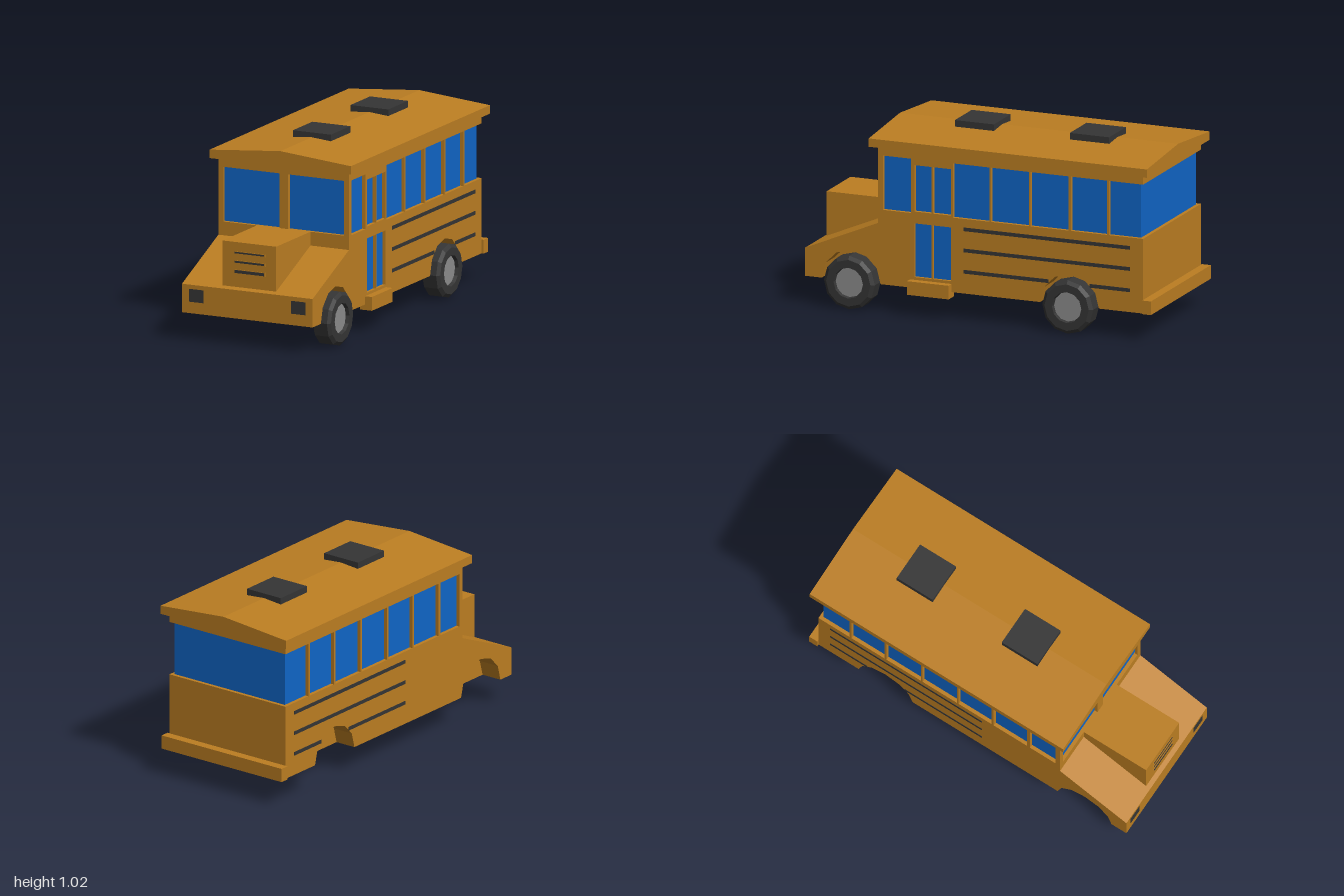
import * as THREE from 'three';

const mat = (name, color, side = THREE.FrontSide) => {
  const m = new THREE.MeshStandardMaterial({ color, side, flatShading: true });
  m.name = name;
  return m;
};

export function createModel() {
  const orange = mat('orange paint', 0xbc7e22);
  const blue = mat('blue glass', 0x1065c6);
  const dark = mat('dark rubber', 0x353535);
  const grey = mat('grey metal', 0x8c8c8c);

  const bus = new THREE.Group();
  bus.name = 'bus';
  bus.position.x = -0.007;

  const add = (name, geo, material, parent = bus) => {
    const m = new THREE.Mesh(geo, material);
    m.name = name;
    parent.add(m);
    return m;
  };
  // box given by its two corners on each axis
  const box = (name, material, x0, x1, y0, y1, z0, z1) => {
    const m = add(name, new THREE.BoxGeometry(x1 - x0, y1 - y0, z1 - z0), material);
    m.position.set((x0 + x1) / 2, (y0 + y1) / 2, (z0 + z1) / 2);
    return m;
  };
  // side profile (z, y) extruded across from x0 to x1
  const slab = (name, shape, x0, x1) => {
    const m = add(name, new THREE.ExtrudeGeometry(shape, { depth: x1 - x0, bevelEnabled: false }), orange);
    m.rotation.y = -Math.PI / 2;
    m.position.x = x1;
    return m;
  };

  const W = 0.39, BOTTOM = 0.15, SILL = 0.56, GLASS = 0.37;
  const wheelZ = [-0.525, 0.735];

  // lower body with angular wheel arches
  const bodyShape = (arches, door) => {
    const s = new THREE.Shape();
    s.moveTo(-0.95, BOTTOM);
    if (arches) for (const z of wheelZ) {
      for (let i = 0; i <= 6; i++) {
        const a = Math.PI * (1 - i / 6);
        s.lineTo(z + 0.17 * Math.cos(a), BOTTOM + 0.17 * Math.sin(a));
      }
    }
    s.lineTo(1, BOTTOM);
    s.lineTo(1, 0.305);
    s.lineTo(0.58, 0.485);
    s.lineTo(0.58, SILL);
    s.lineTo(-0.95, SILL);
    s.closePath();
    if (door) for (const [a, b] of [[0.16, 0.263], [0.27, 0.37]]) {
      s.holes.push(new THREE.Path([
        new THREE.Vector2(a, 0.21), new THREE.Vector2(a, 0.505),
        new THREE.Vector2(b, 0.505), new THREE.Vector2(b, 0.21)]));
    }
    return s;
  };
  slab('bodyCore', bodyShape(false, false), -0.27, 0.27);
  slab('rightBodySide', bodyShape(true, false), -W, -0.27);
  slab('leftBodySide', bodyShape(true, false), 0.27, GLASS);
  slab('doorSkin', bodyShape(true, true), GLASS, W);
  box('doorGlass', blue, GLASS - 0.004, GLASS + 0.003, 0.2, 0.515, 0.15, 0.38);
  box('doorStep', orange, 0.36, 0.431, 0.12, 0.195, 0.155, 0.395);
  box('rearBumper', orange, -0.403, 0.403, BOTTOM, 0.225, -1, -0.949);

  // hood, grille slots and headlights
  box('hood', orange, -0.16, 0.16, 0.31, SILL, 0.56, 0.975);
  for (const [y, h] of [[0.503, 0.008], [0.453, 0.01], [0.4, 0.016]]) {
    box('grilleFrame', orange, -0.095, 0.095, y - h / 2 - 0.004, y + h / 2 + 0.004, 0.973, 0.977);
    box('grilleSlot', dark, -0.088, 0.088, y - h / 2, y + h / 2, 0.974, 0.979);
  }
  for (const s of [-1, 1]) {
    const light = box('headlight', dark, -0.043, 0.043, 0.212, 0.282, 0.996, 1.001);
    light.position.x = s * 0.305;
  }

  // glazed cabin with pillars and header
  box('cabinGlass', blue, -GLASS, GLASS, SILL - 0.01, 0.87, -0.93, 0.56);
  box('header', orange, -W, W, 0.858, 0.91, -0.95, 0.58);
  const pillars = [[0.565, 0.58], [0.37, 0.39], [0.147, 0.16], [-0.073, -0.062],
    [-0.301, -0.29], [-0.533, -0.52], [-0.753, -0.74]];
  for (const s of [-1, 1]) {
    const a = s < 0 ? -W : GLASS - 0.01, b = s < 0 ? -GLASS + 0.01 : W;
    for (const [z0, z1] of pillars) box('windowPillar', orange, a, b, SILL, 0.858, z0, z1);
  }
  box('doorPillar', orange, 0.36, W, SILL, 0.858, 0.263, 0.27);
  box('doorTop', orange, 0.36, W, 0.825, 0.858, 0.16, 0.37);
  box('doorSill', orange, 0.36, W, SILL, 0.57, 0.16, 0.37);
  for (const [x0, x1] of [[-W, -0.367], [-0.026, 0.026], [0.367, W]])
    box('windshieldPillar', orange, x0, x1, SILL, 0.858, 0.55, 0.58);

  // shallow gabled roof
  const gable = new THREE.Shape([[-0.422, 0.907], [0.422, 0.907], [0.422, 0.953], [0, 0.99], [-0.422, 0.953]]
    .map(p => new THREE.Vector2(...p)));
  add('roof', new THREE.ExtrudeGeometry(gable, { depth: 1.605, bevelEnabled: false }), orange).position.z = -0.985;
  box('frontHatch', dark, -0.113, 0.113, 0.979, 1.016, 0.03, 0.255);
  box('rearHatch', dark, -0.113, 0.113, 0.979, 1.016, -0.635, -0.408);

  // side stripes, the lowest broken by the rear arch
  for (const s of [-1, 1]) {
    for (const [y, z0, z1] of [[0.503, -0.875, 0.085], [0.387, -0.875, 0.085],
      [0.27, -0.405, 0.085], [0.27, -0.875, -0.64]]) {
      const stripe = box('sideStripe', dark, -0.002, 0.002, y - 0.01, y + 0.01, z0, z1);
      stripe.position.x = s * W;
    }
  }

  // twelve-sided wheels with a sunken metal hub, on the left side only
  const tyre = [[0, -0.055], [0.125, -0.055], [0.147, -0.04], [0.147, 0.04], [0.128, 0.055],
    [0.085, 0.055], [0.08, 0.03]].map(p => new THREE.Vector2(...p));
  for (const z of wheelZ) {
    const wheel = new THREE.Group();
    wheel.name = z > 0 ? 'frontWheel' : 'rearWheel';
    wheel.position.set(0.374, 0.147, z);
    wheel.rotation.z = -Math.PI / 2;
    bus.add(wheel);
    add('tyre', new THREE.LatheGeometry(tyre, 12), dark, wheel);
    add('hub', new THREE.CylinderGeometry(0.083, 0.083, 0.04, 12), grey, wheel).position.y = 0.015;
  }

  const model = new THREE.Group();
  model.name = 'model';
  model.add(bus);
  return model;
}
